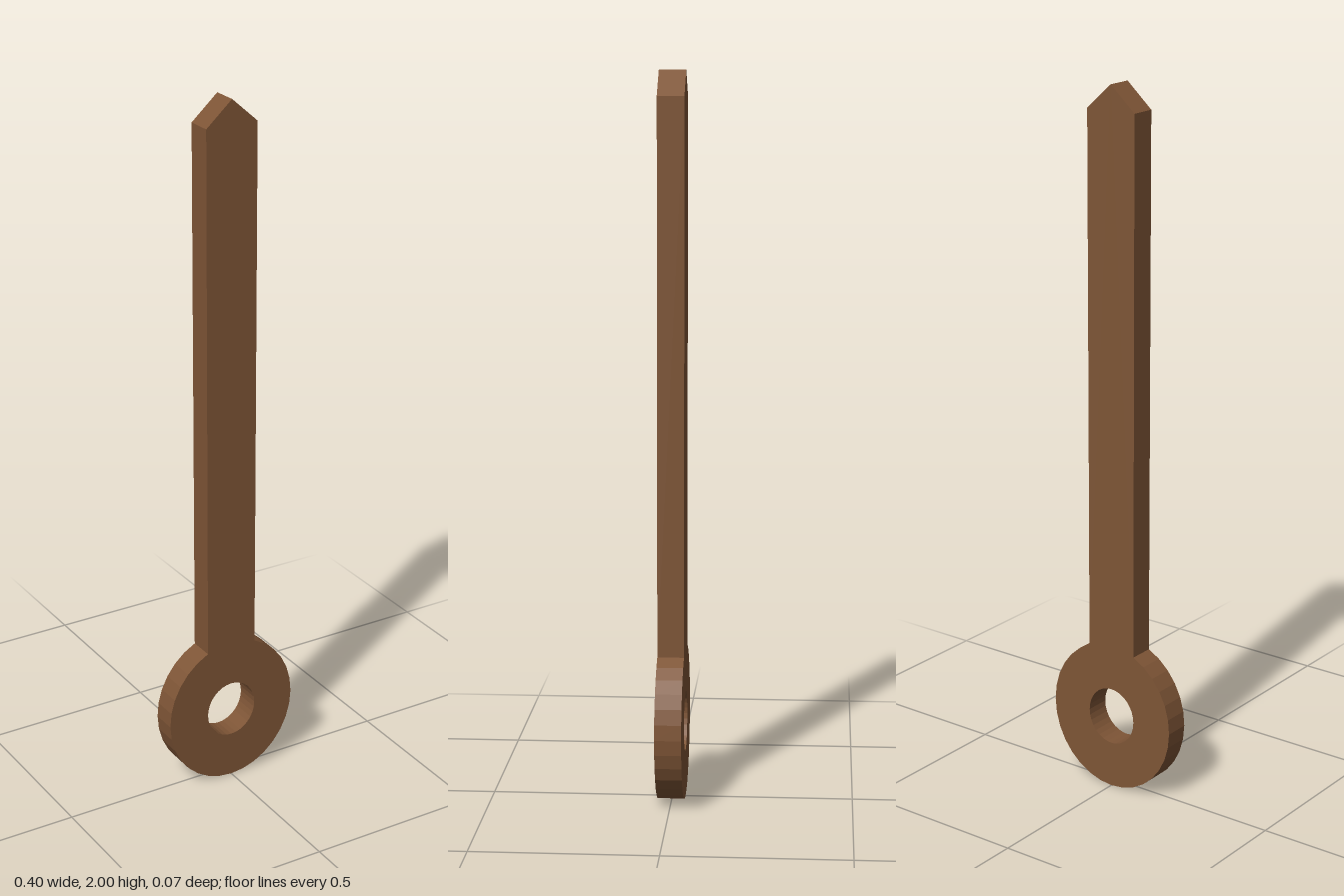
import * as THREE from 'three';

const DEPTH = 0.073;      // thickness of the whole piece
const CENTRE_Y = 0.216;   // height of the eye's centre
const SEGMENTS = 32;

// Point on an upright ellipse round the eye's centre
function ringPoint(step, rx, ry) {
  const a = (step / SEGMENTS) * Math.PI * 2;
  return new THREE.Vector2(rx * Math.cos(a), CENTRE_Y + ry * Math.sin(a));
}

export function createModel() {
  const wood = new THREE.MeshStandardMaterial({ color: 0x7e5536, flatShading: true });
  wood.name = 'brown wood';

  // Outline: round the eye clockwise, then up the shaft to the point
  const outline = [];
  for (let i = 6; i >= -22; i--) outline.push(ringPoint(i, 0.2, 0.216));
  const half = outline[0].x;
  outline.push(
    new THREE.Vector2(-half, 1.932),
    new THREE.Vector2(0, 2),
    new THREE.Vector2(half, 1.932),
  );
  const shape = new THREE.Shape(outline);

  // Hole through the eye
  const hole = [];
  for (let i = 0; i < SEGMENTS; i++) hole.push(ringPoint(i, 0.077, 0.083));
  shape.holes.push(new THREE.Path(hole));

  const geometry = new THREE.ExtrudeGeometry(shape, { depth: DEPTH, bevelEnabled: false });
  geometry.translate(0, 0, -DEPTH / 2);
  const peg = new THREE.Mesh(geometry, wood);
  peg.name = 'pointedShaftWithEye';

  const group = new THREE.Group();
  group.name = 'eyePeg';
  group.add(peg);
  return group;
}
